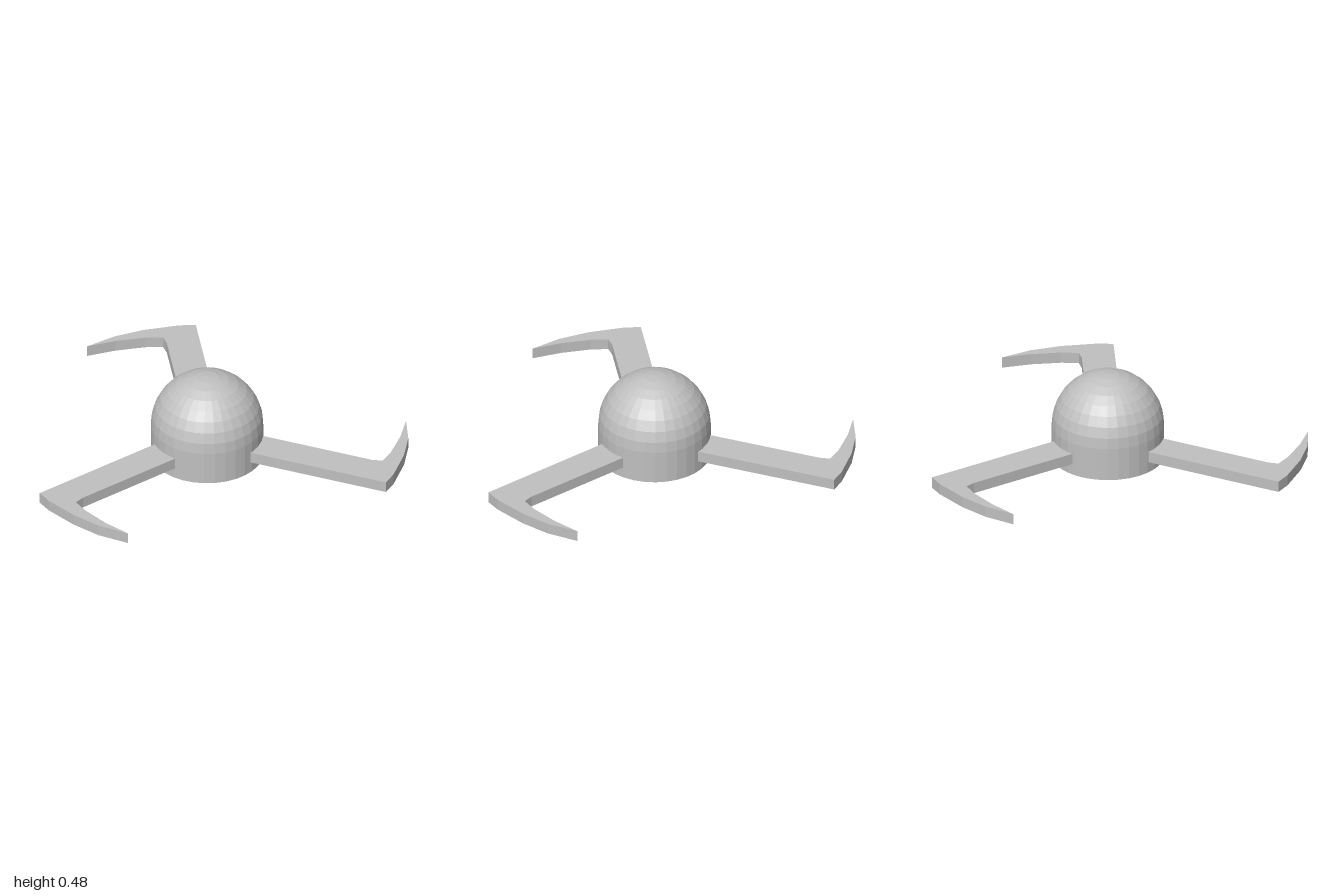
import * as THREE from 'three';

export function createModel() {
  const model = new THREE.Group();
  const grey = new THREE.MeshStandardMaterial({ color: 0xc0c0c0, flatShading: true });
  grey.name = 'light grey';

  // Hub: short drum with a hemispherical cap, closed underneath
  const radius = 0.295, drum = 0.182, rings = 8;
  const profile = [new THREE.Vector2(0, 0), new THREE.Vector2(radius, 0)];
  for (let i = 0; i <= rings; i++) {
    const a = (i / rings) * Math.PI / 2;
    profile.push(new THREE.Vector2(i === rings ? 0 : radius * Math.cos(a), drum + radius * Math.sin(a)));
  }
  const hub = new THREE.Mesh(new THREE.LatheGeometry(profile, 32), grey);
  hub.name = 'domedHub';
  model.add(hub);

  // Arm: straight bar ending in a curved, pointed hook
  const outline = [
    [-0.0875, 0.2], [0.0875, 0.2], [0.0875, 1.045], [0, 1.053], [-0.19, 1.035],
    [-0.35, 0.995], [-0.505, 0.92], [-0.35, 0.95], [-0.19, 0.96], [-0.1, 0.95], [-0.0875, 0.895],
  ];
  const shape = new THREE.Shape(outline.map(([x, y]) => new THREE.Vector2(x, y)));
  const armGeometry = new THREE.ExtrudeGeometry(shape, { depth: 0.06, bevelEnabled: false });
  armGeometry.rotateX(-Math.PI / 2);

  // Three arms spaced evenly around the hub
  ['back', 'left', 'right'].forEach((side, i) => {
    const arm = new THREE.Mesh(armGeometry, grey);
    arm.name = side + 'HookedArm';
    arm.position.y = 0.06;
    arm.rotation.y = -i * Math.PI * 2 / 3;
    model.add(arm);
  });

  // Shift so the overall footprint is centred
  model.children.forEach((part) => {
    part.position.x = -0.052;
    part.position.z = 0.075;
  });
  model.name = 'hookedRotor';
  return model;
}
